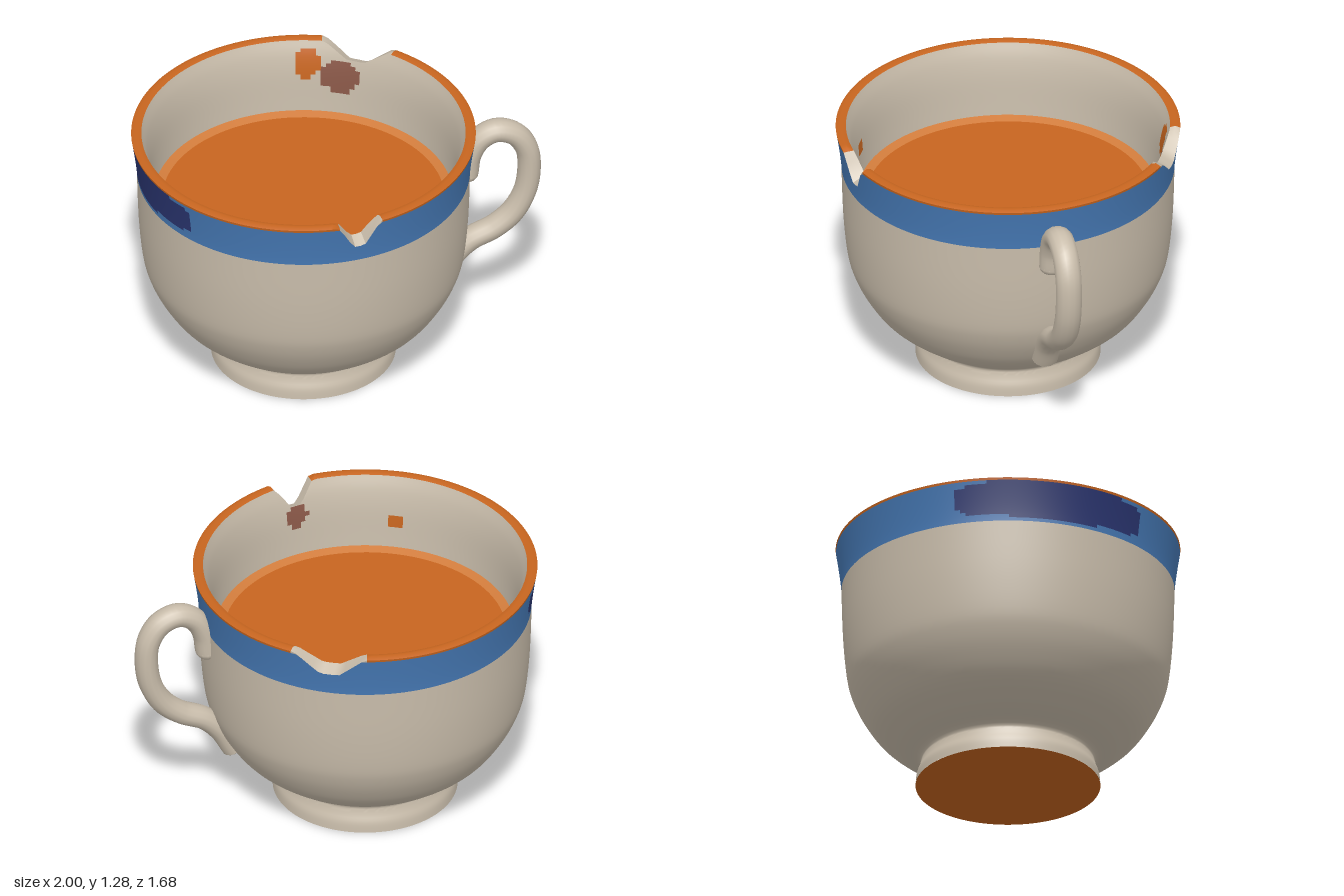
import * as THREE from 'three';
import { toCreasedNormals } from 'three/addons/utils/BufferGeometryUtils.js';

const mat = (name, color) => {
  const m = new THREE.MeshStandardMaterial({ color });
  m.name = name;
  return m;
};

const AXIS_X = -0.163; // the bowl sits off centre, balanced by the handle
const SEG = 192;
const RIM_Y = 1.28;

// Chips in the rim: angle from +x towards -z, half width, depth
const chips = [
  { a: Math.PI * 1.5 - 0.04, w: 0.135, depth: 0.115 },
  { a: 0.855, w: 0.225, depth: 0.085 },
];
// 0 away from a chip, 1 on its floor
const chipAmount = (c, a) => {
  const d = Math.abs(Math.atan2(Math.sin(a - c.a), Math.cos(a - c.a)));
  return Math.min(1, Math.max(0, (1 - d / c.w) * 1.35));
};

// Radius of a wall profile at height y (profile listed upwards)
const radiusAt = (profile, y) => {
  for (let i = 1; i < profile.length; i++) {
    const [r0, y0] = profile[i - 1], [r1, y1] = profile[i];
    if (y <= y1) return r0 + (r1 - r0) * Math.max(0, (y - y0) / (y1 - y0));
  }
  return profile[profile.length - 1][0];
};

// Smooth list of [radius, height] through a few points
const smooth = (pts, n) =>
  new THREE.SplineCurve(pts.map(p => new THREE.Vector2(...p))).getPoints(n).map(p => [p.x, p.y]);

const inBlob = (a, y, a0, y0, da, dy, power = 2) =>
  Math.abs((a - a0) / da) ** power + Math.abs((y - y0) / dy) ** power < 1;

export function createModel() {
  const model = new THREE.Group();
  model.name = 'chippedCup';
  const clay = mat('beige clay', 0xc9bdab);
  const blue = mat('blue glaze', 0x4679b5);
  const navy = mat('dark blue glaze', 0x2b3672);
  const orange = mat('orange', 0xc7651f);
  const amber = mat('light orange', 0xd17c3c);
  const brown = mat('red brown stain', 0x8a5848);

  const cup = new THREE.Group();
  cup.name = 'cup';
  cup.position.x = AXIS_X;
  model.add(cup);
  const add = (parent, name, geometry, material) => {
    const mesh = new THREE.Mesh(geometry, material);
    mesh.name = name;
    parent.add(mesh);
    return mesh;
  };

  // Wall profiles: foot and bowl, glazed band, inside wall
  const body = smooth([[0.452, 0], [0.447, 0.05], [0.43, 0.1], [0.432, 0.14], [0.525, 0.2], [0.64, 0.295],
    [0.715, 0.4], [0.763, 0.5], [0.788, 0.6], [0.806, 0.8], [0.814, 1.05]], 40);
  const band = [];
  for (let i = 1; i <= 12; i++) {
    const t = i / 12;
    band.push([0.814 + 0.026 * t ** 1.3, 1.05 + 0.208 * t]);
  }
  const outer = [...body, ...band, [0.842, 1.27]];
  const inner = smooth([[0.728, 0.86], [0.735, 0.95], [0.747, 1.1], [0.766, 1.2], [0.792, 1.272]], 20);

  // Rows run up the outside, over the rim and down the inside
  const rows = [
    ...outer.map(([, y], i) => ({ y, side: outer,
      part: i < body.length - 1 ? 'bowl' : i < outer.length - 2 ? 'band' : 'rim' })),
    { y: RIM_Y, part: 'rim' },
    ...inner.slice().reverse().map(([, y]) => ({ y, side: inner, part: 'insideWall' })),
  ];

  const positions = [];
  for (const row of rows) {
    for (let s = 0; s <= SEG; s++) {
      const a = (s % SEG) / SEG * Math.PI * 2;
      let cut = RIM_Y, lip = RIM_Y; // break height inside and outside
      for (const c of chips) {
        const k = chipAmount(c, a);
        cut -= c.depth * k;
        lip -= (c.depth + 0.03) * k;
      }
      let y, r;
      if (row.side) {
        y = Math.min(row.y, row.side === outer ? lip : cut);
        r = radiusAt(row.side, y);
      } else {
        y = (cut + lip) / 2;
        r = (radiusAt(outer, lip) + radiusAt(inner, cut)) / 2;
      }
      positions.push(r * Math.cos(a), y, -r * Math.sin(a));
    }
  }

  // Sort each quad into the part it belongs to
  const pickPart = (row, y, a) => {
    if (row.part === 'rim' && chips.some(c => chipAmount(c, a) > 0)) return 'chipFaces';
    if (row.part === 'band' && inBlob(a, y, 3.0, 1.165, 0.61, 0.09, 4)) return 'darkPatch';
    if (row.part === 'insideWall') {
      if (inBlob(a, y, 1.17, 1.16, 0.09, 0.08)) return 'orangeStains';
      if (inBlob(a, y, 4.0, 1.04, 0.05, 0.04)) return 'orangeStains';
      if (inBlob(a, y, 0.95, 1.1, 0.13, 0.09)) return 'brownStains';
      if (inBlob(a, y, chips[0].a, 1.11, 0.08, 0.06)) return 'brownStains';
    }
    return row.part;
  };
  const parts = {};
  const stride = SEG + 1;
  for (let i = 0; i < rows.length - 1; i++) {
    for (let s = 0; s < SEG; s++) {
      const name = pickPart(rows[i], (rows[i].y + rows[i + 1].y) / 2, (s + 0.5) / SEG * Math.PI * 2);
      const a = i * stride + s, b = a + 1, c = a + stride, d = c + 1;
      (parts[name] ??= []).push(a, b, d, a, d, c);
    }
  }
  const partMaterials = { bowl: clay, band: blue, darkPatch: navy, rim: orange, chipFaces: clay,
    insideWall: clay, orangeStains: orange, brownStains: brown };
  for (const [name, index] of Object.entries(parts)) {
    const g = new THREE.BufferGeometry();
    g.setAttribute('position', new THREE.Float32BufferAttribute(positions, 3));
    g.setIndex(index);
    add(cup, name, toCreasedNormals(g, 0.7), partMaterials[name]);
  }

  // Drink with a raised edge, and the unglazed underside
  add(cup, 'drink', new THREE.CircleGeometry(0.69, 96).rotateX(-Math.PI / 2), orange).position.y = 0.885;
  const edge = [[0.69, 0.885], [0.735, 0.9]].map(p => new THREE.Vector2(...p));
  add(cup, 'drinkEdge', new THREE.LatheGeometry(edge, 96), amber);
  amber.side = THREE.DoubleSide;
  add(cup, 'underside', new THREE.CircleGeometry(0.452, 96).rotateX(Math.PI / 2), orange);

  // Handle: curled at the top, sweeping down to the bowl
  const handle = new THREE.Group();
  handle.name = 'handle';
  handle.position.x = AXIS_X;
  handle.rotation.y = -0.197;
  handle.scale.z = 1.15;
  model.add(handle);
  const path = new THREE.CatmullRomCurve3([[0.635, 0.94], [0.65, 1.04], [0.7, 1.13], [0.78, 1.168], [0.87, 1.135],
    [0.925, 1.05], [0.939, 0.94], [0.92, 0.8], [0.86, 0.68], [0.77, 0.6], [0.65, 0.54], [0.57, 0.46],
    [0.505, 0.345]].map(([x, y]) => new THREE.Vector3((x - AXIS_X) * 1.017, y, 0)));
  const R = 0.057;
  add(handle, 'handleLoop', new THREE.TubeGeometry(path, 72, R, 14), clay);
  for (const [name, t, flat] of [['handleCurlEnd', 0, 0.8], ['handleFootEnd', 1, 0.25]]) {
    const end = add(handle, name, new THREE.SphereGeometry(R, 14, 10), clay);
    end.position.copy(path.getPoint(t));
    end.quaternion.setFromUnitVectors(new THREE.Vector3(0, 1, 0), path.getTangent(t));
    end.scale.y = flat;
  }
  return model;
}
